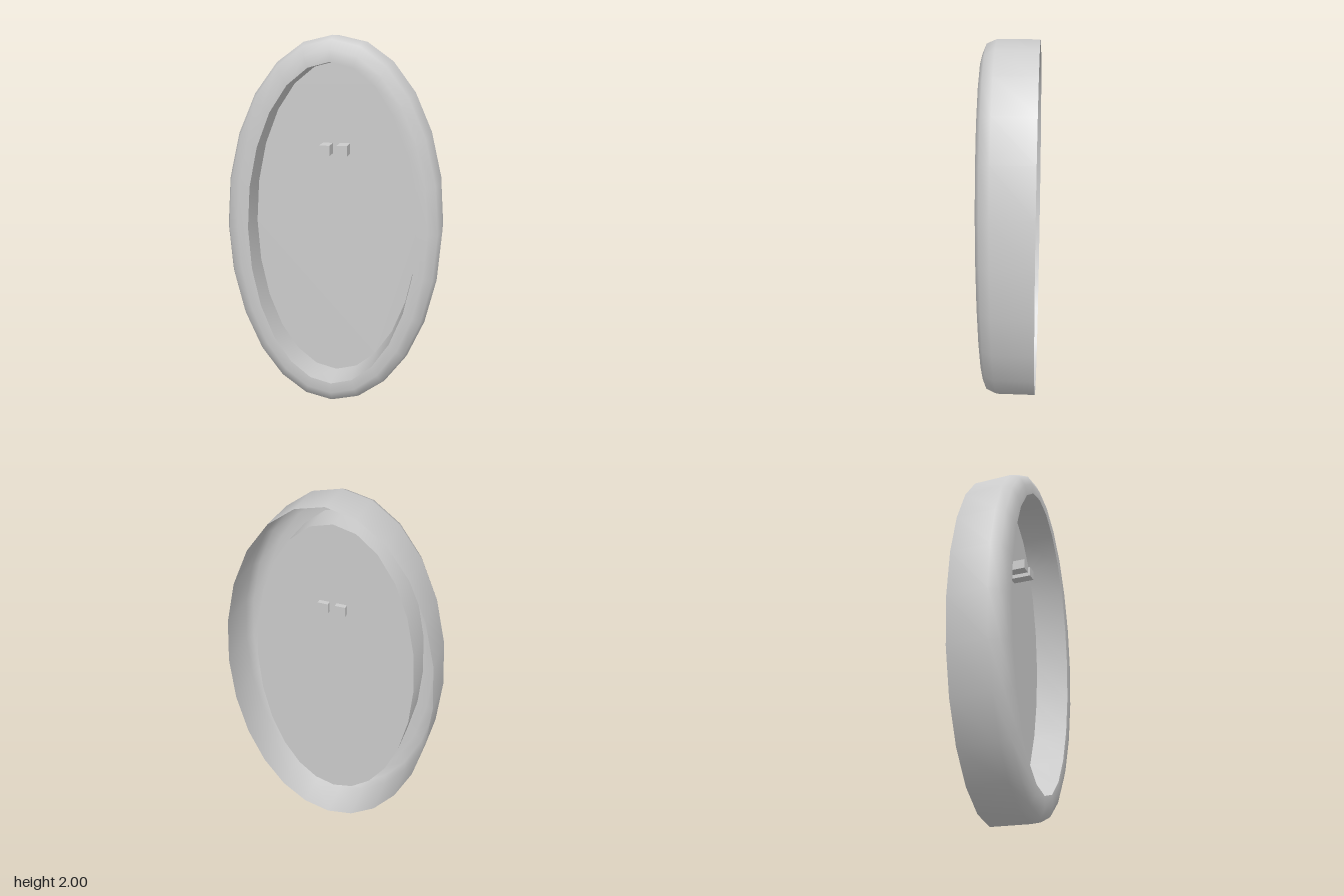
import * as THREE from 'three';
import { toCreasedNormals } from 'three/addons/utils/BufferGeometryUtils.js';

const SIDES = 24;
const RX = 0.578, RY = 1.0; // outer half width and half height
const RIM = 0.13;           // width of the rim seen from the front
const PLATE_Z = -0.045;

// Point on the oval, moved inward by an offset
function ovalPoint(i, inset) {
  const a = (i / SIDES) * Math.PI * 2;
  return [(RX - inset) * Math.sin(a), (RY - inset) * Math.cos(a)];
}

// Sweeps a profile of [inset, z] points around the oval
function sweepOval(profile) {
  const positions = [], index = [];
  const n = profile.length;
  for (let i = 0; i < SIDES; i++) {
    for (const [inset, z] of profile) positions.push(...ovalPoint(i, inset), z);
    const p = i * n, q = ((i + 1) % SIDES) * n;
    for (let j = 0; j < n - 1; j++) {
      index.push(p + j, p + j + 1, q + j, q + j, p + j + 1, q + j + 1);
    }
  }
  const geometry = new THREE.BufferGeometry();
  geometry.setAttribute('position', new THREE.Float32BufferAttribute(positions, 3));
  geometry.setIndex(index);
  return toCreasedNormals(geometry, Math.PI / 3);
}

export function createModel() {
  const group = new THREE.Group();
  const material = new THREE.MeshStandardMaterial({ color: 0xcccccc, side: THREE.DoubleSide });

  function add(name, geometry, x, y, z) {
    const mesh = new THREE.Mesh(geometry, material);
    mesh.name = name;
    mesh.position.set(x, y, z);
    group.add(mesh);
  }

  // Hollow frame: outer wall, rounded shoulder, front rim, inner wall
  add('frame', sweepOval([
    [0, -0.145], [0, 0.07], [0.022, 0.121], [0.073, 0.143],
    [RIM, 0.143], [RIM, PLATE_Z],
  ]), 0, 1, 0);

  // Flat oval plate closing the inner wall
  const outline = [];
  for (let i = 0; i < SIDES; i++) outline.push(new THREE.Vector2(...ovalPoint(SIDES - i, RIM)));
  add('plate', new THREE.ShapeGeometry(new THREE.Shape(outline)), 0, 1, PLATE_Z);

  // Two small blocks set through the plate
  for (const side of [-1, 1]) {
    add(side > 0 ? 'leftBlock' : 'rightBlock',
      new THREE.BoxGeometry(0.055, 0.055, 0.142), side * 0.046, 1.415, 0);
  }
  return group;
}
